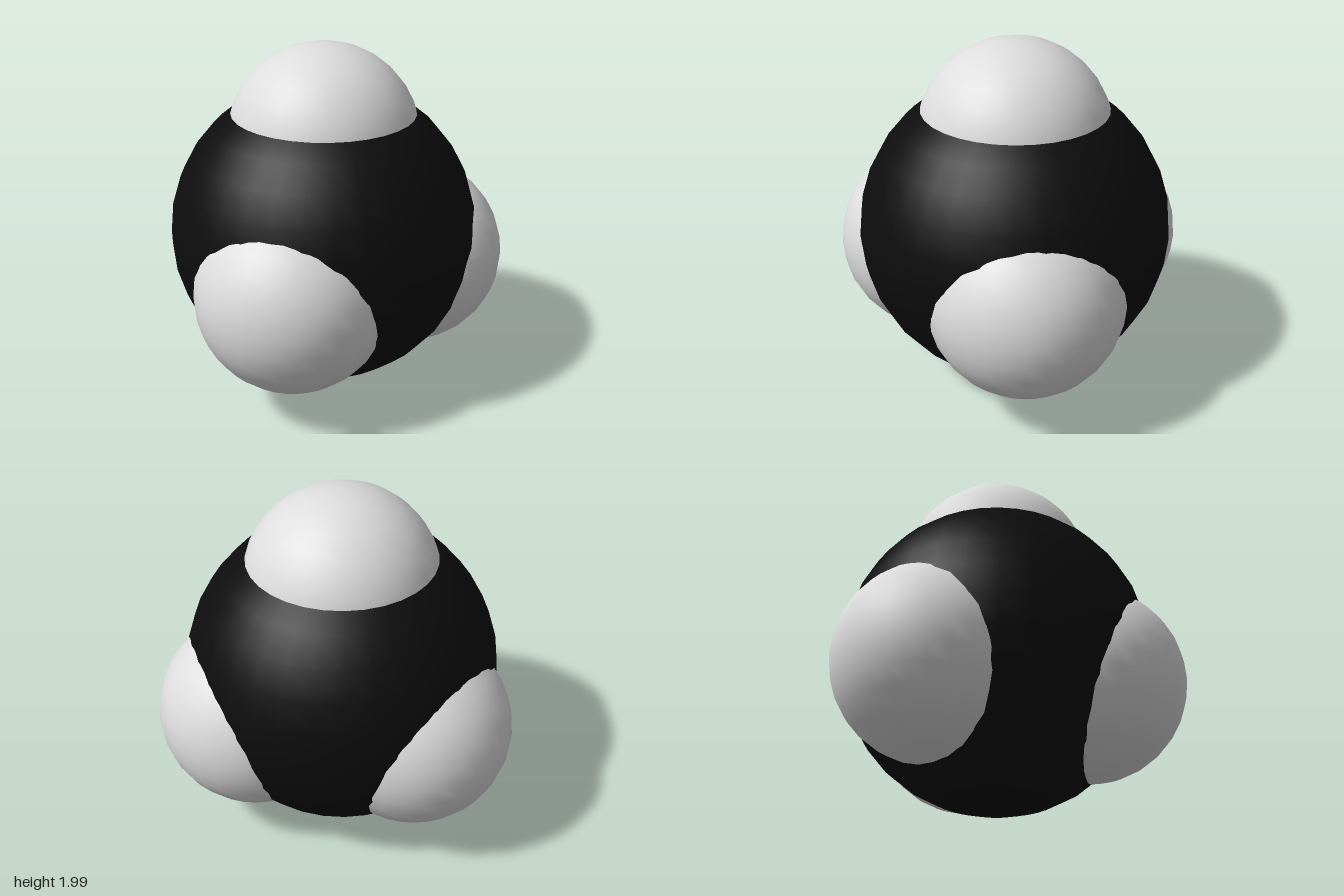
import * as THREE from 'three';

export function createModel() {
  const model = new THREE.Group();
  model.name = 'tetrahedralMolecule';

  const black = new THREE.MeshStandardMaterial({ color: 0x0d0d0d });
  black.name = 'black';
  const lightGrey = new THREE.MeshStandardMaterial({ color: 0xdddddd });
  lightGrey.name = 'lightGrey';

  const centre = new THREE.Vector3(0, 0.885, -0.09);
  const bond = 0.55;

  function atom(name, radius, material, position) {
    const mesh = new THREE.Mesh(new THREE.SphereGeometry(radius, 32, 16), material);
    mesh.name = name;
    mesh.position.copy(position);
    model.add(mesh);
  }

  // Large central atom
  atom('centralAtom', 0.885, black, centre);

  // Small atom on top, then three spaced evenly around the lower half
  atom('topAtom', 0.55, lightGrey, centre.clone().add(new THREE.Vector3(0, bond, 0)));
  const drop = -bond / 3;
  const reach = bond * Math.sqrt(8) / 3;
  ['frontAtom', 'backLeftAtom', 'backRightAtom'].forEach((name, i) => {
    const angle = (i * Math.PI * 2) / 3;
    const offset = new THREE.Vector3(Math.sin(angle) * reach, drop, Math.cos(angle) * reach);
    atom(name, 0.55, lightGrey, centre.clone().add(offset));
  });

  return model;
}
